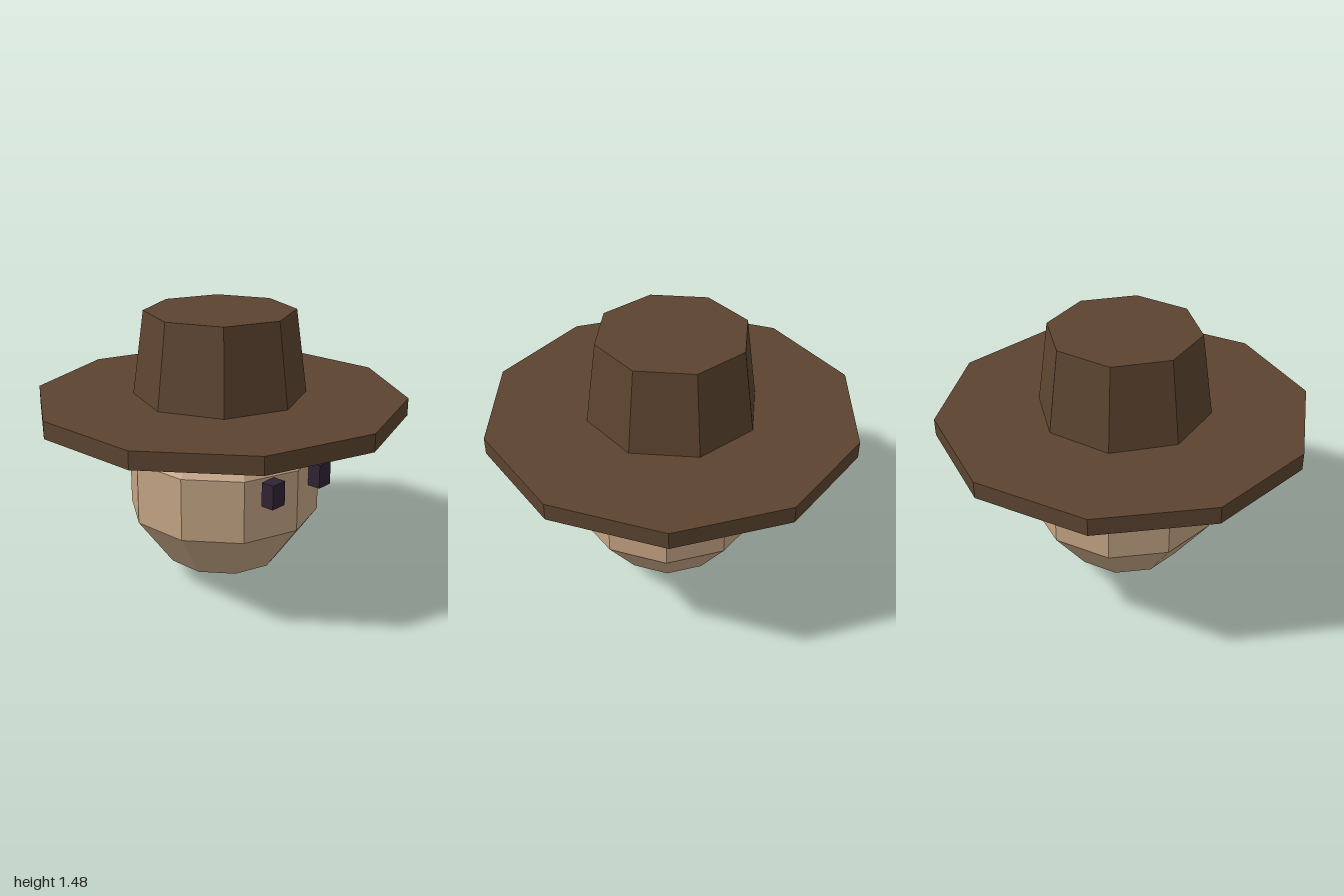
import * as THREE from 'three';

export function createModel() {
  const model = new THREE.Group();
  model.name = 'hattedHead';

  const material = (name, color) => {
    const m = new THREE.MeshStandardMaterial({ color, flatShading: true });
    m.name = name;
    return m;
  };
  const skin = material('tan skin', 0xc4a484);
  const felt = material('brown felt', 0x5c4430);
  const dark = material('dark eyes', 0x302434);

  const add = (name, geometry, mat, x, y, z) => {
    const mesh = new THREE.Mesh(geometry, mat);
    mesh.name = name;
    mesh.position.set(x, y, z);
    model.add(mesh);
    return mesh;
  };

  // Faceted head: ten sides, with a corner facing forward
  const headRadius = 0.547;
  const headGeometry = new THREE.SphereGeometry(headRadius, 10, 5);
  headGeometry.rotateY(Math.PI / 2);
  add('head', headGeometry, skin, 0, headRadius, 0.025);

  // Small block eyes, mirrored
  for (const [name, side] of [['leftEye', 1], ['rightEye', -1]]) {
    add(name, new THREE.BoxGeometry(0.095, 0.13, 0.073), dark, side * 0.191, 0.645, 0.539);
  }

  // Wide ten-sided brim
  add('hatBrim', new THREE.CylinderGeometry(1, 1, 0.094, 10), felt, 0, 0.979, 0);

  // Tapered eight-sided crown
  add('hatCrown', new THREE.CylinderGeometry(0.404, 0.466, 0.45, 8), felt, 0, 1.251, 0);

  return model;
}
